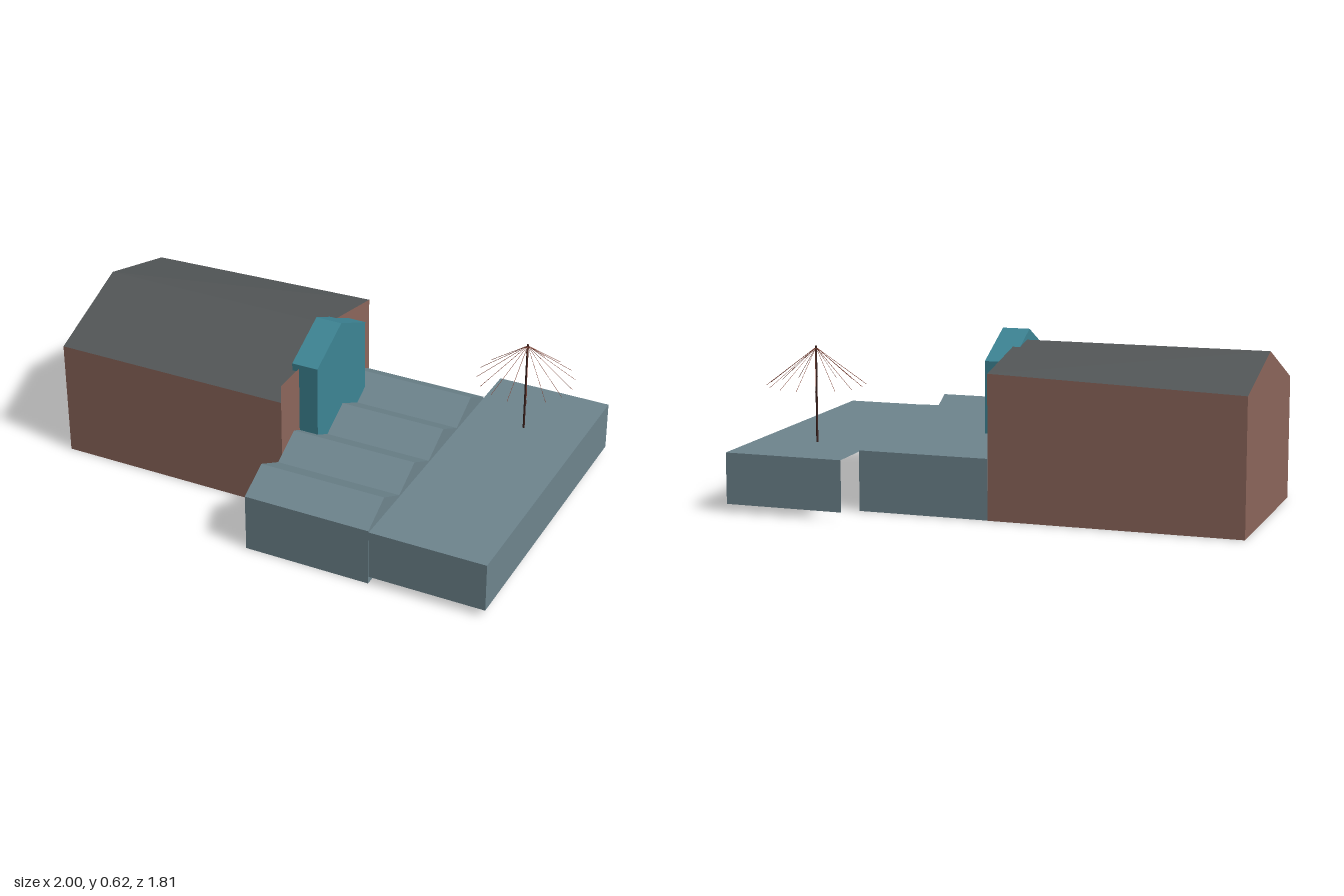
import * as THREE from 'three';

const flat = (name, color) => {
  const m = new THREE.MeshStandardMaterial({ color, side: THREE.DoubleSide });
  m.name = name;
  return m;
};

// Flat panels: each is a list of [x, y, z] corners, fanned into triangles
function panels(name, material, polys) {
  const pos = [];
  for (const p of polys)
    for (let i = 1; i < p.length - 1; i++) pos.push(...p[0], ...p[i], ...p[i + 1]);
  const g = new THREE.BufferGeometry();
  g.setAttribute('position', new THREE.Float32BufferAttribute(pos, 3));
  g.computeVertexNormals();
  const mesh = new THREE.Mesh(g, material);
  mesh.name = name;
  return mesh;
}

// Upright wall in the plane x = const, from a [z, y] outline
function endWall(name, material, x, outline) {
  const shape = new THREE.Shape(outline.map(([z, y]) => new THREE.Vector2(-z, y)));
  const g = new THREE.ShapeGeometry(shape);
  g.rotateY(Math.PI / 2);
  g.translate(x, 0, 0);
  const mesh = new THREE.Mesh(g, material);
  mesh.name = name;
  return mesh;
}

export function createModel() {
  const brick = flat('brick', 0x8c665b);
  const slate = flat('darkRoof', 0x535758);
  const metal = flat('greyBlueCladding', 0x6e858e);
  const teal = flat('tealCladding', 0x3d8595);
  const dark = flat('darkMast', 0x3a201c);
  const rust = flat('rustCable', 0x8a4a3c);

  const model = new THREE.Group();
  const site = new THREE.Group();
  site.name = 'site';
  site.rotation.y = -0.57;
  model.add(site);

  // Brick hall, open underneath
  const x0 = -1.011, x1 = -0.107, zB = -0.432, zF = 0.278, zR = -0.08;
  const ridge = 0.585, low = 0.445, high = 0.484, parapet = 0.513;
  site.add(panels('hallSideWalls', brick, [
    [[x0, 0, zF], [x1, 0, zF], [x1, low, zF], [x0, low, zF]],
    [[x1, 0, zB], [x0, 0, zB], [x0, high, zB], [x1, parapet, zB]],
  ]));
  const backWall = endWall('hallBackWall', brick, x0,
    [[zB, 0], [zF, 0], [zF, low], [zR, ridge], [zB, high]]);
  backWall.geometry.scale(1, 1, 1);
  // turn the back wall outward
  const idx = backWall.geometry.index.array;
  for (let i = 0; i < idx.length; i += 3) [idx[i], idx[i + 1]] = [idx[i + 1], idx[i]];
  backWall.geometry.attributes.normal.array.forEach((v, i, a) => { a[i] = -v; });
  site.add(backWall);
  site.add(endWall('hallFrontWall', brick, x1,
    [[zF, 0], [zB, 0], [zB, parapet], [zR, ridge], [0.104, parapet], [zF, parapet]]));
  site.add(panels('hallRoof', slate, [
    [[x0, low, zF], [x1, low, zF], [x1, ridge, zR], [x0, ridge, zR]],
    [[x0, ridge, zR], [x1, ridge, zR], [x1, parapet, zB]],
    [[x0, ridge, zR], [x1, parapet, zB], [x0, high, zB]],
  ]));

  // Teal entrance slab with a pitched top
  const tealShape = new THREE.Shape(
    [[-0.14, 0], [0.247, 0], [0.247, 0.527], [0.05, 0.62], [-0.14, 0.527]]
      .map(([x, y]) => new THREE.Vector2(x, y)));
  const tealGeo = new THREE.ExtrudeGeometry(tealShape, { depth: 0.1, bevelEnabled: false });
  tealGeo.rotateY(Math.PI / 2);
  tealGeo.translate(-0.134, 0, 0);
  const slab = new THREE.Mesh(tealGeo, teal);
  slab.name = 'entranceSlab';
  site.add(slab);

  // Sawtooth-roofed link with four ridges
  const l0 = -0.106, l1 = 0.37, zL = -0.43, zH = 0.557, valley = 0.217, peak = 0.281;
  const zig = [];
  for (let i = 0; i <= 8; i++) zig.push([zH + (zL - zH) * i / 8, i % 2 ? peak : valley]);
  const roof = [];
  for (let i = 0; i < 8; i++) {
    const [za, ya] = zig[i], [zb, yb] = zig[i + 1];
    roof.push([[l0, ya, za], [l1, ya, za], [l1, yb, zb], [l0, yb, zb]]);
  }
  site.add(panels('sawtoothRoof', metal, roof));
  site.add(panels('linkSideWalls', metal, [
    [[l0, 0, zH], [l1, 0, zH], [l1, valley, zH], [l0, valley, zH]],
    [[l1, 0, zL], [l0, 0, zL], [l0, valley, zL], [l1, valley, zL]],
  ]));
  const outline = [[zH, 0], [zL, 0], ...zig.slice().reverse()];
  site.add(endWall('linkOuterWall', metal, l1, outline));
  site.add(endWall('linkInnerWall', metal, l0, outline));

  // Flat canopy: top and three skirts, open underneath
  const c0 = 0.371, c1 = 0.806, cB = -0.592, cF = 0.556, yB = 0.028, yT = 0.212;
  site.add(panels('canopy', metal, [
    [[c0, yT, cF], [c1, yT, cF], [c1, yT, cB], [c0, yT, cB]],
    [[c0, yB, cF], [c1, yB, cF], [c1, yT, cF], [c0, yT, cF]],
    [[c1, yB, cF], [c1, yB, cB], [c1, yT, cB], [c1, yT, cF]],
    [[c1, yB, cB], [c0, yB, cB], [c0, yT, cB], [c1, yT, cB]],
  ]));

  // Mast with a fan of fine cables
  const mast = new THREE.Group();
  mast.name = 'mast';
  mast.position.set(0.584, 0, -0.303);
  const pole = new THREE.Mesh(new THREE.CylinderGeometry(0.004, 0.004, 0.35, 8), dark);
  pole.name = 'pole';
  pole.position.y = 0.385;
  mast.add(pole);
  const top = new THREE.Vector3(0, 0.555, 0);
  for (let i = 0; i < 16; i++) {
    const t = i * Math.PI / 8;
    const end = new THREE.Vector3(0.178 * Math.cos(t), 0.42, 0.178 * Math.sin(t));
    const cable = new THREE.Mesh(
      new THREE.TubeGeometry(new THREE.LineCurve3(top, end), 1, 0.0008, 4), rust);
    cable.name = 'cable';
    mast.add(cable);
  }
  site.add(mast);

  return model;
}
